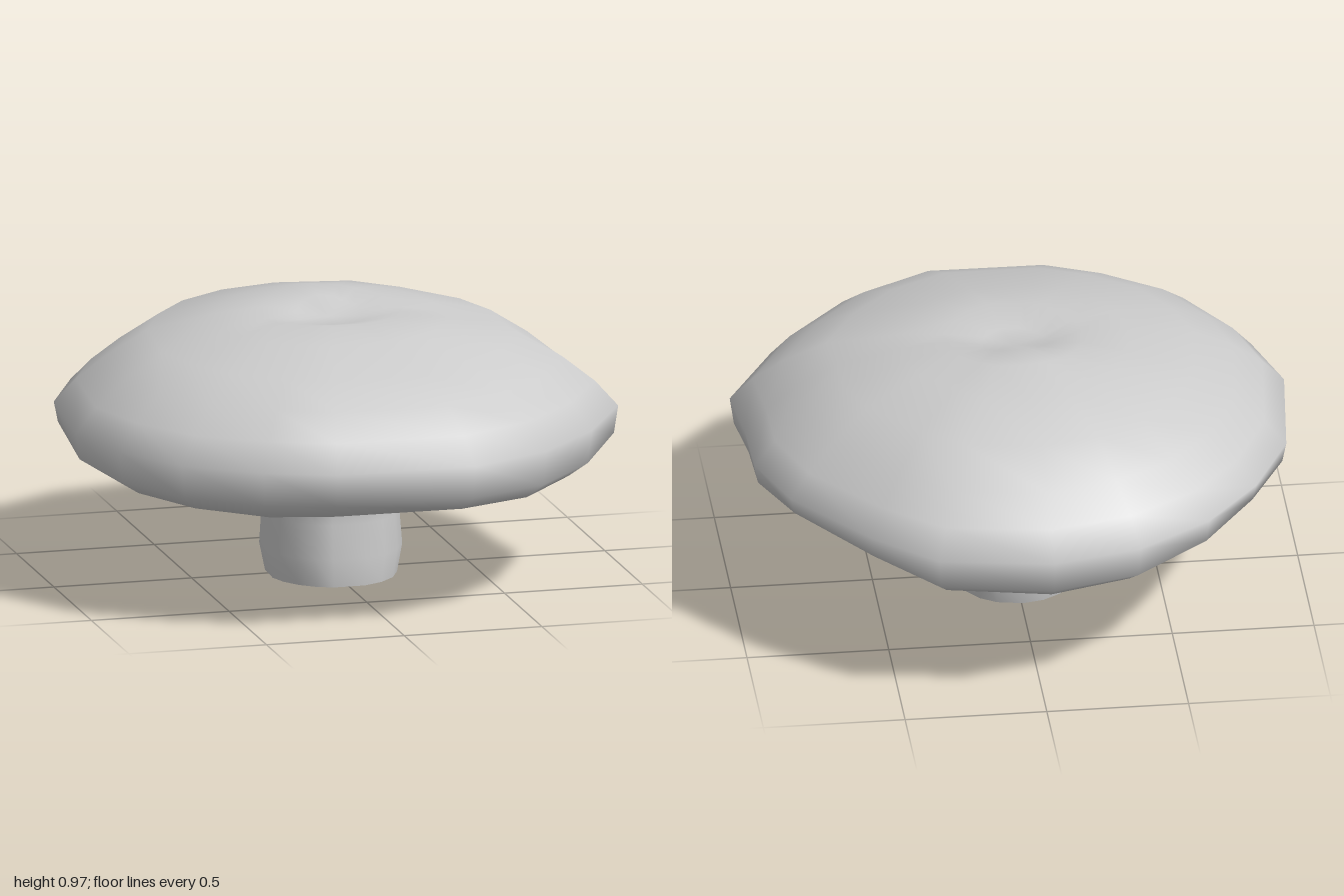
import * as THREE from 'three';
import { mergeVertices } from 'three/addons/utils/BufferGeometryUtils.js';

// Skins a stack of closed rings (top to bottom) with smooth normals
function skin(rings) {
  const n = rings[0].length, index = [];
  for (let i = 0; i < rings.length - 1; i++) {
    for (let j = 0; j < n; j++) {
      const k = (j + 1) % n;
      const a = i * n + j, b = i * n + k, c = a + n, d = b + n;
      index.push(a, b, c, b, d, c);
    }
  }
  let geo = new THREE.BufferGeometry().setFromPoints(rings.flat());
  geo.setIndex(index);
  geo = mergeVertices(geo, 1e-4);
  geo.computeVertexNormals();
  return geo;
}

const bell = (d, width) => Math.exp(-((d / width) ** 2));

export function createModel() {
  const group = new THREE.Group();
  group.name = 'mushroom';

  // Cap rim outline from the back round to +x: x, z, height of the lower lip
  const rim = [
    [-0.03, -1, 0.41], [0.37, -0.94, 0.42], [0.59, -0.76, 0.47], [0.84, -0.46, 0.5],
    [0.94, -0.2, 0.48], [0.945, 0.05, 0.46], [0.97, 0.29, 0.44], [0.79, 0.6, 0.41],
    [0.56, 0.84, 0.4], [0.26, 0.995, 0.41], [-0.24, 0.99, 0.41], [-0.48, 0.89, 0.4],
    [-0.73, 0.72, 0.41], [-0.89, 0.47, 0.42], [-0.975, 0.2, 0.45], [-0.93, -0.26, 0.48],
    [-0.79, -0.55, 0.5], [-0.6, -0.77, 0.46], [-0.34, -0.93, 0.42],
  ];

  // Crown: outline scale and height, with a shallow valley and a small peak behind it
  const crown = [[0, 0.925], [0.12, 0.935], [0.25, 0.95], [0.42, 0.92], [0.66, 0.86]];
  const crownRings = crown.map(([s, y]) => rim.map(([rx, rz]) => {
    const x = rx * s, z = rz * s;
    const valley = 0.025 * bell(z - 0.06, 0.12) * bell(x, 0.4);
    const peak = 0.03 * bell(Math.hypot(x + 0.01, z + 0.16), 0.12);
    return new THREE.Vector3(x, y - 0.025 * z - valley + peak, z);
  }));

  // Brim and hollow underside: outline scale, height, how far it follows the lip
  const brim = [
    [0.81, 0.77, 0], [0.92, 0.685, 0], [1, 0.595, 0.15], [0.985, 0.49, 0.8], [0.91, 0.44, 1],
    [0.82, 0.43, 1], [0.7, 0.485, 0.6], [0.55, 0.535, 0.2],
  ];
  const brimRings = brim.map(([s, y, follow]) => rim.map(([x, z, lip]) =>
    new THREE.Vector3(x * s, y + follow * (lip - 0.43), z * s)));

  // Flared stem, open at the foot: height, half width in x, front z, back z
  const stem = [
    [0.5, 0.39, 0.4, -0.41], [0.43, 0.305, 0.315, -0.31], [0.36, 0.25, 0.258, -0.242],
    [0.22, 0.242, 0.258, -0.232], [0.1, 0.25, 0.277, -0.242], [0, 0.23, 0.272, -0.227],
  ];
  const stemRings = stem.map(([y, rx, front, back]) => rim.map(([x, z]) => {
    const a = Math.atan2(x, -z);
    return new THREE.Vector3(
      Math.sin(a) * rx, y, (front + back) / 2 - Math.cos(a) * (front - back) / 2);
  }));

  // Cap and stem form one continuous shell
  const material = new THREE.MeshStandardMaterial({ color: 0xcccccc, side: THREE.DoubleSide });
  const shell = new THREE.Mesh(skin([...crownRings, ...brimRings, ...stemRings]), material);
  shell.name = 'capAndStem';
  group.add(shell);

  return group;
}
